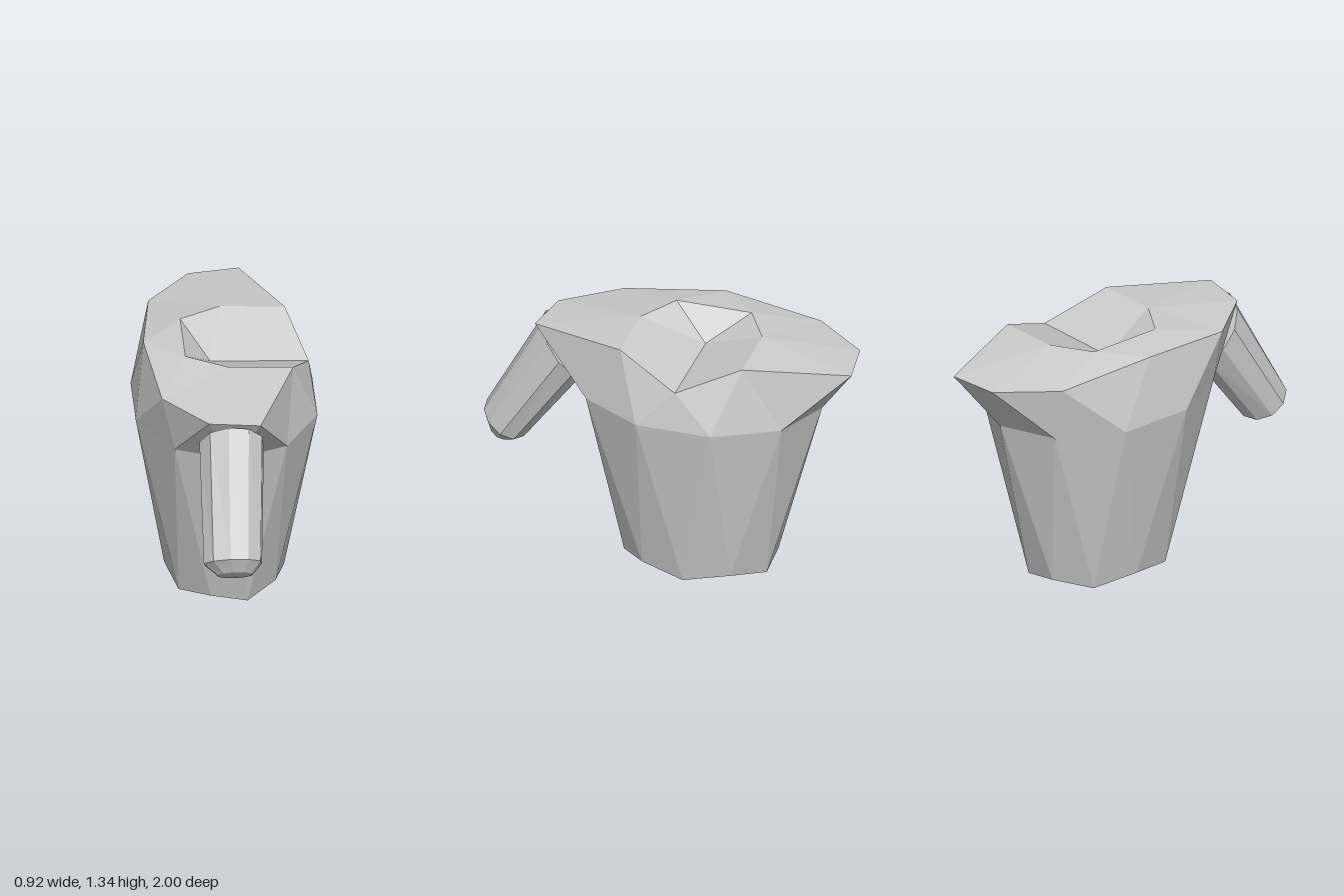
import * as THREE from 'three';

const SIDES = 10;
const CENTRE_Z = -0.155;

// Flat-shaded mesh from a list of corner triples
function facetMesh(name, triangles, material) {
  const geometry = new THREE.BufferGeometry().setFromPoints(triangles.flat());
  geometry.computeVertexNormals();
  const mesh = new THREE.Mesh(geometry, material);
  mesh.name = name;
  return mesh;
}

const ring = (fn) => Array.from({ length: SIDES }, (_, i) => fn(i));
const point = (x, y, dz) => new THREE.Vector3(x, y, CENTRE_Z + dz);

// Elliptical ring around the body's axis; turn is in steps of one side
function ellipse(rx, rz, turn, height) {
  return ring((i) => {
    const t = ((i + turn) / SIDES) * Math.PI * 2;
    return point(rx * Math.cos(t), height(i), rz * Math.sin(t));
  });
}

export function createModel() {
  const group = new THREE.Group();
  const grey = new THREE.MeshStandardMaterial({ color: 0xcccccc, flatShading: true });
  grey.name = 'plain grey';

  // Body rings: base, foot, shoulder (turned half a side) and flared rim
  const base = ellipse(0.18, 0.25, 0, () => 0);
  const foot = ellipse(0.305, 0.4, 0, (i) => (i % 2 ? 0.05 : 0.015));
  const shoulder = ellipse(0.485, 0.645, 0.5, () => 0.975);
  const half = [
    [0.43, 1.18, 0], [0.33, 1.32, 0.325], [0.13, 1.27, 0.845],
    [-0.13, 1.268, 0.805], [-0.35, 1.27, 0.525], [-0.41, 1.318, 0],
  ];
  const rim = ring((i) => {
    const [x, y, z] = half[i <= 5 ? i : SIDES - i];
    return point(x, y, i <= 5 ? z : -z);
  });

  const wall = [];
  const bottom = [];
  for (let i = 0; i < SIDES; i++) {
    const j = (i + 1) % SIDES;
    bottom.push([point(0, 0, 0), base[i], base[j]]);
    bottom.push([base[i], foot[i], base[j]], [foot[i], foot[j], base[j]]);
    wall.push([foot[i], shoulder[i], foot[j]], [shoulder[i], shoulder[j], foot[j]]);
    wall.push([rim[i], rim[j], shoulder[i]], [shoulder[i], rim[j], shoulder[j]]);
  }
  group.add(facetMesh('body', wall, grey), facetMesh('base', bottom, grey));

  // Top surface and V-shaped hollow, one half mirrored front to back
  const keel = point(-0.07, 1.195, 0);
  const top = [];
  const hollow = [];
  for (const side of [1, -1]) {
    const o = (i) => rim[(side * i + SIDES) % SIDES];
    const a = point(0, 1.333, side * 0.325);
    const b = point(-0.21, 1.335, side * 0.2);
    const add = (list, ...tri) => list.push(side > 0 ? tri : tri.reverse());
    add(top, o(2), o(1), a);
    add(top, o(3), o(2), a);
    add(top, o(4), o(3), a);
    add(top, o(4), a, b);
    add(top, o(5), o(4), b);
    add(top, o(5), b, point(-0.21, 1.335, 0));
    add(hollow, o(0), a, o(1));
    add(hollow, o(0), keel, a);
    add(hollow, keel, b, a);
    add(hollow, b, keel, point(-0.21, 1.335, 0));
  }
  group.add(facetMesh('rimTop', top, grey), facetMesh('hollow', hollow, grey));

  // Slanted handle: centre x, y, z, half width, then the upward half-axis y, z
  const sections = [
    [-0.01, 1.107, 0.575, 0.168, 0.155, 0.108],
    [-0.025, 0.595, 0.897, 0.152, 0.08, 0.105],
    [-0.015, 0.54, 0.922, 0.09, 0.045, 0.052],
  ].map(([x, y, z, w, uy, uz]) => ring((i) => {
    const t = ((i - 0.2) / SIDES) * Math.PI * 2;
    return new THREE.Vector3(
      x + w * Math.sin(t), y + uy * Math.cos(t), z + uz * Math.cos(t));
  }));
  const handle = [];
  for (let i = 0; i < SIDES; i++) {
    const j = (i + 1) % SIDES;
    for (let s = 0; s < 2; s++) {
      const [a, b] = [sections[s], sections[s + 1]];
      handle.push([b[i], b[j], a[i]], [b[j], a[j], a[i]]);
    }
    handle.push([new THREE.Vector3(-0.01, 1.107, 0.575), sections[0][i], sections[0][j]]);
    handle.push([new THREE.Vector3(-0.015, 0.535, 0.925), sections[2][j], sections[2][i]]);
  }
  group.add(facetMesh('handle', handle, grey));
  return group;
}
